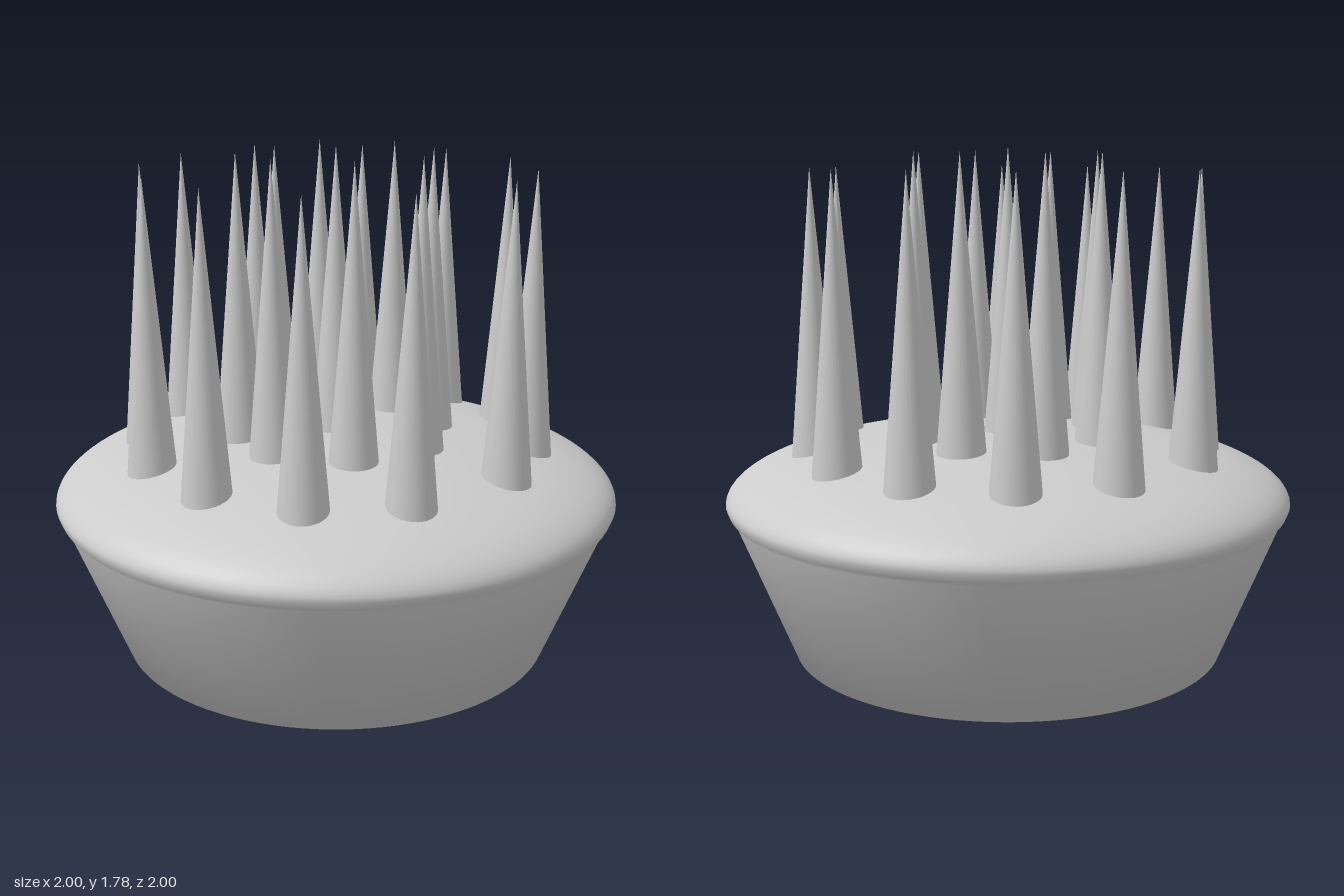
import * as THREE from 'three';

const material = new THREE.MeshStandardMaterial({ color: 0xcccccc });

// Tapered cup with a rounded lip and a shallow elliptical dome
function createBase() {
  const points = [[0, 0], [0.77, 0], [0.975, 0.51], [0.99, 0.525]].map(([x, y]) => new THREE.Vector2(x, y));
  const steps = 24;
  for (let i = 0; i <= steps; i++) {
    const a = (i / steps) * Math.PI / 2;
    points.push(new THREE.Vector2(i === steps ? 0 : Math.cos(a), 0.55 + 0.23 * Math.sin(a)));
  }
  const base = new THREE.Mesh(new THREE.LatheGeometry(points, 96), material);
  base.name = 'base';
  return base;
}

// Slender spike, its foot sunk a little into the dome
function createSpike(radius, angle, tipY) {
  const height = 1.03;
  const spike = new THREE.Mesh(new THREE.ConeGeometry(0.087, height, 32), material);
  const a = THREE.MathUtils.degToRad(angle);
  spike.position.set(radius * Math.cos(a), tipY - height / 2, radius * Math.sin(a));
  spike.name = 'spike';
  return spike;
}

export function createModel() {
  const model = new THREE.Group();
  model.name = 'spikedHolder';
  model.add(createBase());

  const spikes = new THREE.Group();
  spikes.name = 'spikes';
  spikes.add(createSpike(0, 0, 1.78));

  // Each ring repeats its half after a half turn
  const rings = [
    { radius: 0.345, tipY: 1.765, angles: [0, 46.5, 94, 134.5] },
    { radius: 0.683, tipY: 1.71, angles: [0, 36, 65, 94, 123, 152] },
  ];
  for (const { radius, tipY, angles } of rings) {
    for (const angle of angles) {
      spikes.add(createSpike(radius, angle, tipY), createSpike(radius, angle + 180, tipY));
    }
  }
  model.add(spikes);
  return model;
}
